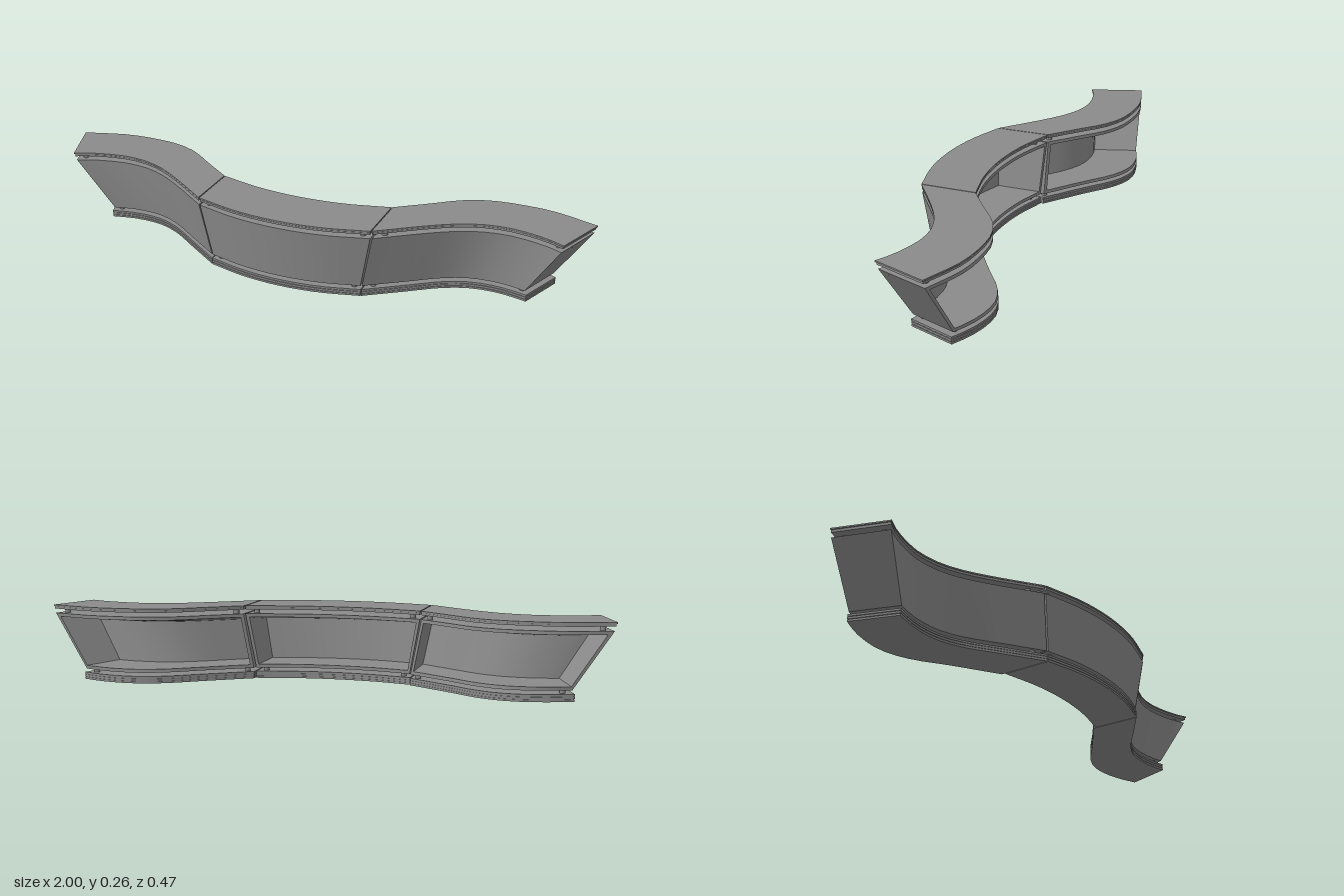
import * as THREE from 'three';
import { toCreasedNormals } from 'three/addons/utils/BufferGeometryUtils.js';

const material = new THREE.MeshStandardMaterial({ color: 0x8b8b8b });
const BODY_LOW = 0.038, BODY_HIGH = 0.233, STEPS = 14;

// Plan curves [x, z] of a wing, from the seam out to the free end
const wing = {
  lowFront: [[0.285, 0.165], [0.42, 0.07], [0.52, 0.0], [0.6, -0.035], [0.67, -0.045], [0.74, -0.041], [0.81, -0.025]],
  lowBack: [[0.285, -0.02], [0.45, -0.13], [0.54, -0.195], [0.62, -0.23], [0.69, -0.238], [0.79, -0.222], [0.87, -0.19]],
  highFront: [[0.322, 0.18], [0.48, 0.065], [0.57, 0.01], [0.65, -0.02], [0.74, -0.029], [0.83, -0.014], [0.885, 0.003], [0.932, 0.025]],
  highBack: [[0.322, -0.02], [0.43, -0.1], [0.53, -0.175], [0.62, -0.21], [0.72, -0.22], [0.84, -0.213], [1.0, -0.165]],
};

// Plan curves of the middle, from right to left
const bow = (x, zEnd, zMid) => [-1, -0.5, 0, 0.5, 1].map(k => [k * x, zMid + (zEnd - zMid) * k * k]);
const middle = {
  lowFront: bow(0.285, 0.165, 0.213),
  lowBack: bow(0.285, -0.01, 0.033),
  highFront: bow(0.322, 0.18, 0.236),
  highBack: bow(0.322, -0.02, 0.032),
};

const mirror = points => points.map(([x, z]) => [-x, z]).reverse();

// Returns point(s, w, y): s along the counter, w from front to back, y the height
function makePlan(plan, flip) {
  const c = {};
  for (const key in plan) {
    const pts = flip ? mirror(plan[key]) : plan[key];
    c[key] = new THREE.CatmullRomCurve3(pts.map(([x, z]) => new THREE.Vector3(x, 0, z)));
  }
  return (s, w, y) => {
    const h = THREE.MathUtils.clamp((y - BODY_LOW) / (BODY_HIGH - BODY_LOW), 0, 1);
    const front = c.lowFront.getPointAt(s).lerp(c.highFront.getPointAt(s), h);
    const back = c.lowBack.getPointAt(s).lerp(c.highBack.getPointAt(s), h);
    return front.lerp(back, w).setY(y);
  };
}

// Solid block that follows the plan between the given limits; drop lowers its front underside
function block(name, point, [s0, s1], [w0, w1], [y0, y1], drop = 0) {
  const n = s1 - s0 < 0.1 ? 1 : STEPS;
  const corners = [[w0, y0 - drop], [w1, y0], [w1, y1], [w0, y1]];
  const pos = [], idx = [];
  const quad = (a, b, c, d) => idx.push(a, b, c, a, c, d);
  for (let i = 0; i <= n; i++) {
    const s = s0 + (s1 - s0) * i / n;
    for (const [w, y] of corners) pos.push(...point(s, w, y).toArray());
  }
  for (let i = 0; i < n; i++) {
    for (let j = 0; j < 4; j++) {
      const k = (j + 1) % 4;
      quad(i * 4 + j, i * 4 + k, i * 4 + 4 + k, i * 4 + 4 + j);
    }
  }
  quad(3, 2, 1, 0);
  quad(n * 4, n * 4 + 1, n * 4 + 2, n * 4 + 3);
  const g = new THREE.BufferGeometry();
  g.setAttribute('position', new THREE.Float32BufferAttribute(pos, 3));
  g.setIndex(idx);
  const mesh = new THREE.Mesh(toCreasedNormals(g, 0.5), material);
  mesh.name = name;
  return mesh;
}

// freeStart and freeEnd tell which ends are not seams
function makeSection(name, point, freeStart, freeEnd) {
  const section = new THREE.Group();
  section.name = name;
  const add = (part, ...limits) => section.add(block(part, point, ...limits));
  const span = (free, seam) => [freeStart ? free : seam, 1 - (freeEnd ? free : seam)];

  // Stacked base plinth, with thin recessed grooves
  const full = span(0, 0.003), inset = span(0.006, 0.006);
  for (const y of [0, 0.009, 0.018]) add('baseLayer', full, [0, 1], [y, y + 0.007]);
  for (const y of [0.007, 0.016]) add('baseGroove', inset, [0.015, 0.985], [y, y + 0.002]);

  // Worktop in two layers
  add('worktopUnderlayer', inset, [0.008, 0.992], [0.248, 0.255]);
  add('worktopGroove', inset, [0.015, 0.985], [0.255, 0.257]);
  add('worktop', full, [0, 1], [0.257, 0.262]);

  // Leaning cabinet, open at the back
  const [a, b] = span(0.013, 0.005), t = 0.018;
  add('frontPanel', [a, b], [0.012, 0.06], [BODY_LOW, BODY_HIGH]);
  add('cabinetFloor', [a, b], [0.06, 0.997], [BODY_LOW, 0.05]);
  add('cabinetTop', [a, b], [0.06, 0.997], [0.221, BODY_HIGH], 0.025);
  add('endPanel', [a, a + t], [0.06, 0.997], [0.05, 0.221]);
  add('endPanel', [b - t, b], [0.06, 0.997], [0.05, 0.221]);

  // Short spacer posts under the worktop and under the cabinet
  for (const [y0, y1] of [[0.025, BODY_LOW], [BODY_HIGH, 0.248]]) {
    for (const s of [0.055, 0.945]) {
      for (const w of [0.15, 0.85]) {
        const post = new THREE.Mesh(new THREE.CylinderGeometry(0.01, 0.01, y1 - y0, 16), material);
        post.name = 'spacerPost';
        post.position.copy(point(s, w, y0)).setY((y0 + y1) / 2);
        section.add(post);
      }
    }
  }
  return section;
}

export function createModel() {
  const model = new THREE.Group();
  model.name = 'curvedCounter';
  model.add(
    makeSection('middleSection', makePlan(middle, false), false, false),
    makeSection('leftSection', makePlan(wing, false), false, true),
    makeSection('rightSection', makePlan(wing, true), true, false),
  );
  return model;
}
